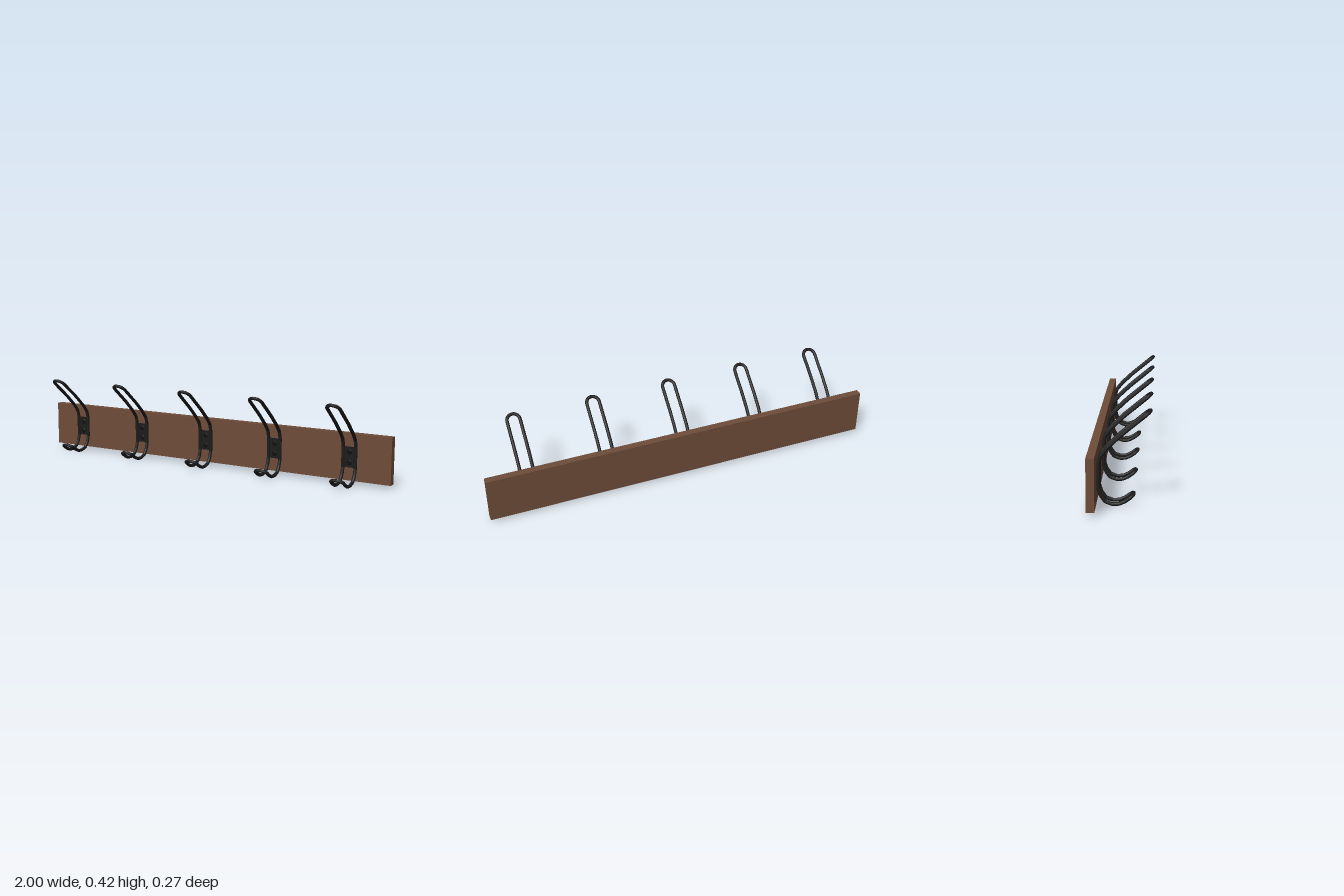
import * as THREE from 'three';

const wood = new THREE.MeshStandardMaterial({ color: 0x6e4c38 });
wood.name = 'brown wood';
const metal = new THREE.MeshStandardMaterial({ color: 0x1c1c1c });
metal.name = 'black metal';
const screwMetal = new THREE.MeshStandardMaterial({ color: 0x111111 });
screwMetal.name = 'dark screw';

const HALF = 0.032; // half the spacing between the two wires of a hook
const WIRE = 0.0083;

// Side profile of one wire as [z, y], lower end to upper end
const PROFILE = [
  [0.042, 0.037], [0.021, 0.022], [-0.005, 0.0105], [-0.034, 0.0095], [-0.064, 0.021],
  [-0.083, 0.048], [-0.0925, 0.08], [-0.0925, 0.187], [-0.083, 0.222], [-0.053, 0.258],
  [0.005, 0.312], [0.104, 0.393],
];

// Rounded end joining the two wires, bulging along (dz, dy); runs from side to -side
function endArc([z, y], dz, dy, side) {
  const points = [];
  for (let i = 1; i < 10; i++) {
    const a = (i / 10) * Math.PI;
    points.push(new THREE.Vector3(side * HALF * Math.cos(a), y + dy * Math.sin(a), z + dz * Math.sin(a)));
  }
  return points;
}

// Closed loop of bent wire
function wireGeometry() {
  const sidePoints = (x) => PROFILE.map(([z, y]) => new THREE.Vector3(x, y, z));
  const points = [
    ...sidePoints(HALF),
    ...endArc(PROFILE[PROFILE.length - 1], 0.025, 0.02, 1),
    ...sidePoints(-HALF).reverse(),
    ...endArc(PROFILE[0], 0.016, 0.012, -1),
  ];
  const path = new THREE.CurvePath();
  points.forEach((p, i) => path.add(new THREE.LineCurve3(p, points[(i + 1) % points.length])));
  return new THREE.TubeGeometry(path, 220, WIRE, 10, true);
}

function add(parent, name, geometry, material, x, y, z) {
  const mesh = new THREE.Mesh(geometry, material);
  mesh.name = name;
  mesh.position.set(x, y, z);
  parent.add(mesh);
  return mesh;
}

export function createModel() {
  const model = new THREE.Group();
  model.name = 'coatRack';

  // Wall board
  add(model, 'board', new THREE.BoxGeometry(2, 0.23, 0.036), wood, 0, 0.133, -0.118);

  const wire = wireGeometry();
  const plate = new THREE.BoxGeometry(2 * HALF, 0.1, 0.008);
  const screw = new THREE.CylinderGeometry(0.01, 0.013, 0.004, 16).rotateX(Math.PI / 2);

  // Five hooks, each with a mounting plate and two screws
  for (let i = 0; i < 5; i++) {
    const hook = new THREE.Group();
    hook.name = 'hook';
    hook.position.x = -0.812 + i * 0.401;
    add(hook, 'wireLoop', wire, metal, 0, 0, 0);
    add(hook, 'mountingPlate', plate, metal, 0, 0.134, -0.096);
    for (const y of [0.108, 0.16]) add(hook, 'screw', screw, screwMetal, 0, y, -0.09);
    model.add(hook);
  }
  return model;
}
